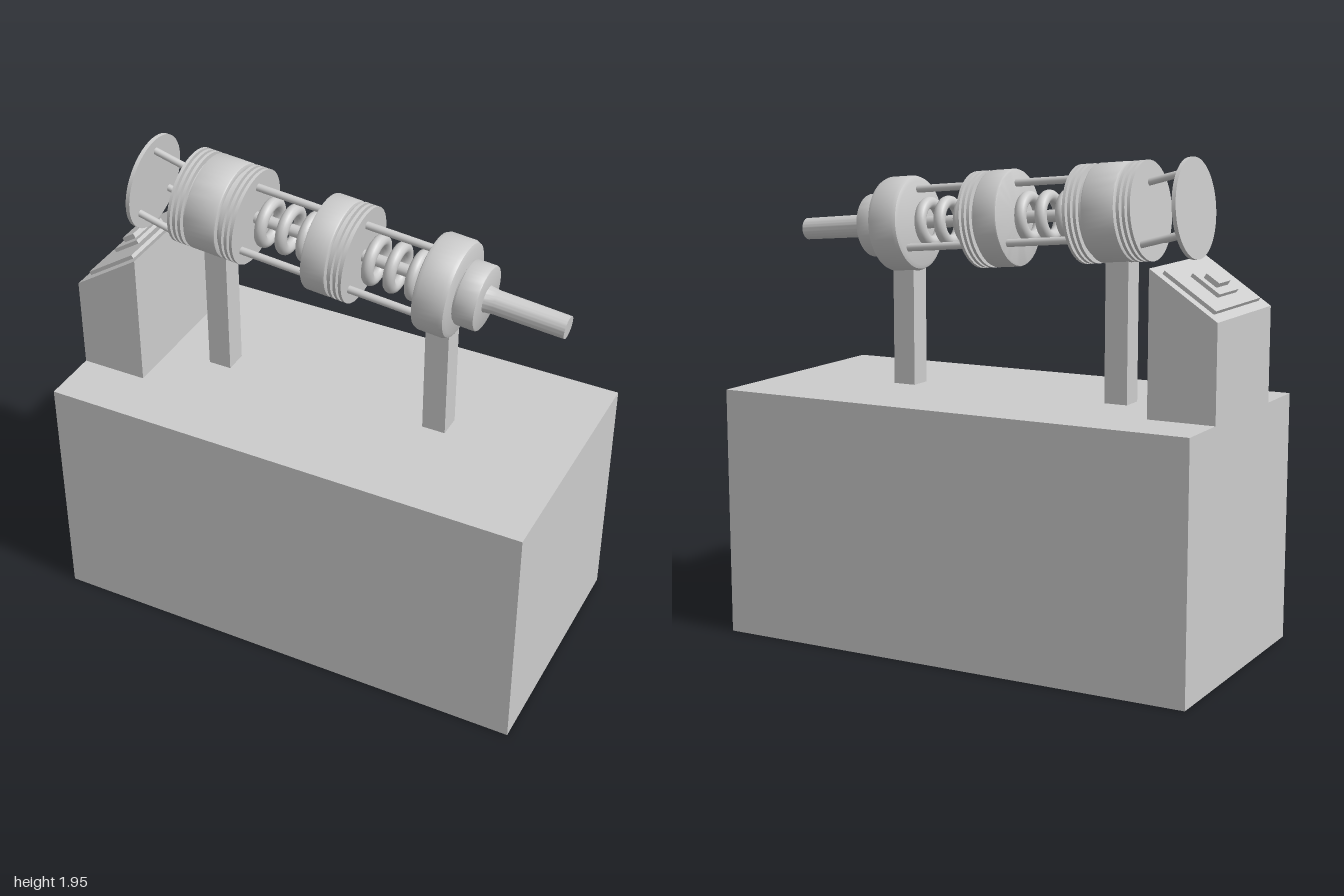
import * as THREE from 'three';
import { toCreasedNormals } from 'three/addons/utils/BufferGeometryUtils.js';

const grey = new THREE.MeshStandardMaterial({ color: 0xcccccc });

function add(parent, name, geometry, x = 0, y = 0, z = 0) {
  const mesh = new THREE.Mesh(geometry, grey);
  mesh.name = name;
  mesh.position.set(x, y, z);
  parent.add(mesh);
  return mesh;
}

// Solid of revolution about the barrel axis; profile is [along, radius] pairs
function turned(parent, name, profile) {
  const pts = profile.map(([s, r]) => new THREE.Vector2(r, s));
  const geo = toCreasedNormals(new THREE.LatheGeometry(pts, 48), 0.5);
  geo.rotateZ(-Math.PI / 2);
  return add(parent, name, geo);
}

// Straight round rod between two points
function rod(parent, name, from, to, radius) {
  const a = new THREE.Vector3(...from), b = new THREE.Vector3(...to);
  const mesh = add(parent, name, new THREE.CylinderGeometry(radius, radius, a.distanceTo(b), 16));
  mesh.position.copy(a).lerp(b, 0.5);
  mesh.quaternion.setFromUnitVectors(new THREE.Vector3(0, 1, 0), b.sub(a).normalize());
}

const R = 0.19, GROOVE = 0.168;

// Profile pieces: a drum with softened rims, and a thin cooling fin
const drum = (a, b, r = R, c = 0.008) => [
  [a, r - c], [a + c * 0.3, r - c * 0.3], [a + c, r],
  [b - c, r], [b - c * 0.3, r - c * 0.3], [b, r - c]];
const fin = (a) => [[a, GROOVE], [a, R], [a + 0.012, R], [a + 0.012, GROOVE]];
const fins = (start) => [0, 1, 2].flatMap((i) => fin(start + i * 0.0225));
const capped = (p) => [[p[0][0], 0], ...p, [p[p.length - 1][0], 0]];

export function createModel() {
  const model = new THREE.Group();
  model.name = 'mountedBarrel';

  // Pedestal and support posts
  add(model, 'pedestal', new THREE.BoxGeometry(2, 1, 1), 0, 0.5, 0);
  add(model, 'rearPost', new THREE.BoxGeometry(0.095, 0.62, 0.095), -0.5, 1.31, 0);
  add(model, 'frontPost', new THREE.BoxGeometry(0.095, 0.56, 0.095), 0.445, 1.28, 0);

  // Console with sloping top
  const side = new THREE.Shape([[-1, 1], [-0.73, 1], [-0.73, 1.555], [-1, 1.375]]
    .map(([x, y]) => new THREE.Vector2(x, y)));
  add(model, 'console', new THREE.ExtrudeGeometry(side, { depth: 0.53, bevelEnabled: false }), 0, 0, -0.265);

  // Stepped control panel lying on the slope
  const panel = new THREE.Group();
  panel.name = 'controlPanel';
  panel.position.set(-0.865, 1.465, 0);
  panel.rotation.z = Math.atan2(0.18, 0.27);
  model.add(panel);
  add(panel, 'panelPlate', new THREE.BoxGeometry(0.245, 0.015, 0.44), 0, 0.0075, 0);
  add(panel, 'buttonBase', new THREE.BoxGeometry(0.13, 0.03, 0.185), 0, 0.015, 0);
  add(panel, 'button', new THREE.BoxGeometry(0.062, 0.05, 0.11), 0, 0.025, 0);

  // Barrel assembly, pitched down toward +x
  const barrel = new THREE.Group();
  barrel.name = 'barrelAssembly';
  barrel.position.y = 1.686;
  barrel.rotation.z = -THREE.MathUtils.degToRad(5);
  model.add(barrel);

  turned(barrel, 'endDisc', capped([[-0.802, R], [-0.786, R]]));
  turned(barrel, 'rearDrum', capped([
    ...fins(-0.62), [-0.552, GROOVE], ...drum(-0.552, -0.415), [-0.415, GROOVE], ...fins(-0.397)]));
  turned(barrel, 'middleDrum', capped([
    ...drum(-0.056, 0.048), [0.048, GROOVE], ...fins(0.06)]));
  turned(barrel, 'frontDrum', capped(drum(0.392, 0.53, R, 0.022)));
  turned(barrel, 'collar', capped([[0.52, 0.115], ...drum(0.535, 0.62, 0.127, 0.007)]));
  turned(barrel, 'nozzle', capped([
    [0.61, 0.055], [0.625, 0.05], [0.66, 0.046], [0.938, 0.044]]));

  // Core rod with coil rings between the drums
  rod(barrel, 'coreRod', [-0.4, 0, 0], [0.45, 0, 0], 0.024);
  for (const start of [-0.28, 0.17]) {
    for (let i = 0; i < 3; i++) {
      const ring = add(barrel, 'coilRing', new THREE.TorusGeometry(0.078, 0.024, 14, 40), start + i * 0.088, 0, 0);
      ring.rotation.y = Math.PI / 2;
    }
  }

  // Three tie rods, with steeper struts behind the rear drum
  for (const [y, z] of [[0.135, 0], [-0.09, 0.108], [-0.09, -0.108]]) {
    rod(barrel, 'tieRod', [-0.4, y, z], [0.45, y, z], 0.015);
    rod(barrel, 'rearStrut', [-0.795, y + 0.005, z], [-0.59, y - 0.033, z], 0.014);
  }
  return model;
}
